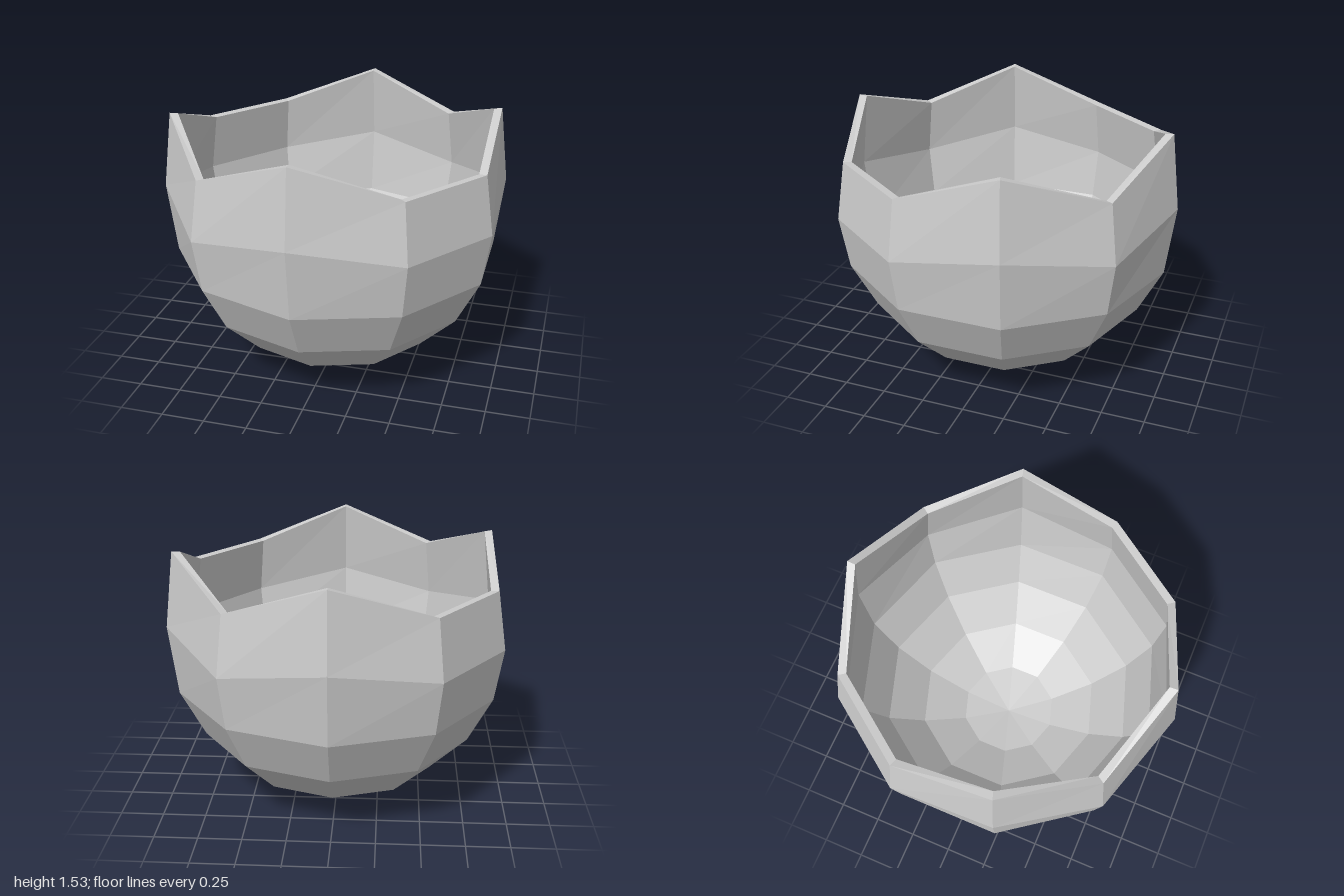
import * as THREE from 'three';

const SIDES = 10;
const WALL = 0.95; // inner skin scale about the sphere centre
// Jagged rim: which of the ten corners rise to a peak (repeats every half turn)
const PEAKS = [true, false, false, true, false];

// Closed [radius, height] profile at one corner: outer skin up, over the rim, inner skin down
function profileAt(peak) {
  const outer = [];
  for (let j = 0; j <= 4; j++) {
    const a = (j * Math.PI) / 10;
    outer.push([Math.sin(a), 1 - Math.cos(a)]);
  }
  outer.push([1, peak ? 1.1 : 1.0]);
  outer.push([0.947, peak ? 1.535 : 1.34]);
  const inner = outer.map(([r, y], j) => [r * WALL, j < 5 ? 1 - (1 - y) * WALL : y]);
  inner[6][1] -= 0.004;
  return [...outer, ...inner.reverse()];
}

function shellGeometry() {
  const positions = [];
  const index = [];
  let rows = 0;
  for (let i = 0; i < SIDES; i++) {
    const angle = (i * 2 * Math.PI) / SIDES;
    const profile = profileAt(PEAKS[i % 5]);
    rows = profile.length;
    for (const [r, y] of profile) positions.push(r * Math.sin(angle), y, r * Math.cos(angle));
  }
  for (let i = 0; i < SIDES; i++) {
    const p = i * rows;
    const q = ((i + 1) % SIDES) * rows;
    for (let j = 0; j < rows - 1; j++) {
      // the poles at both ends of the profile need one triangle only
      if (j > 0) index.push(p + j, q + j, q + j + 1);
      if (j < rows - 2) index.push(p + j, q + j + 1, p + j + 1);
      
    }
  }
  const indexed = new THREE.BufferGeometry();
  indexed.setAttribute('position', new THREE.Float32BufferAttribute(positions, 3));
  indexed.setIndex(index);
  const geometry = indexed.toNonIndexed();
  geometry.computeVertexNormals();
  return geometry;
}

export function createModel() {
  const group = new THREE.Group();
  group.name = 'brokenShellBowl';
  const material = new THREE.MeshStandardMaterial({ color: 0xcccccc, flatShading: true });
  const shell = new THREE.Mesh(shellGeometry(), material);
  shell.name = 'shell';
  group.add(shell);
  return group;
}
